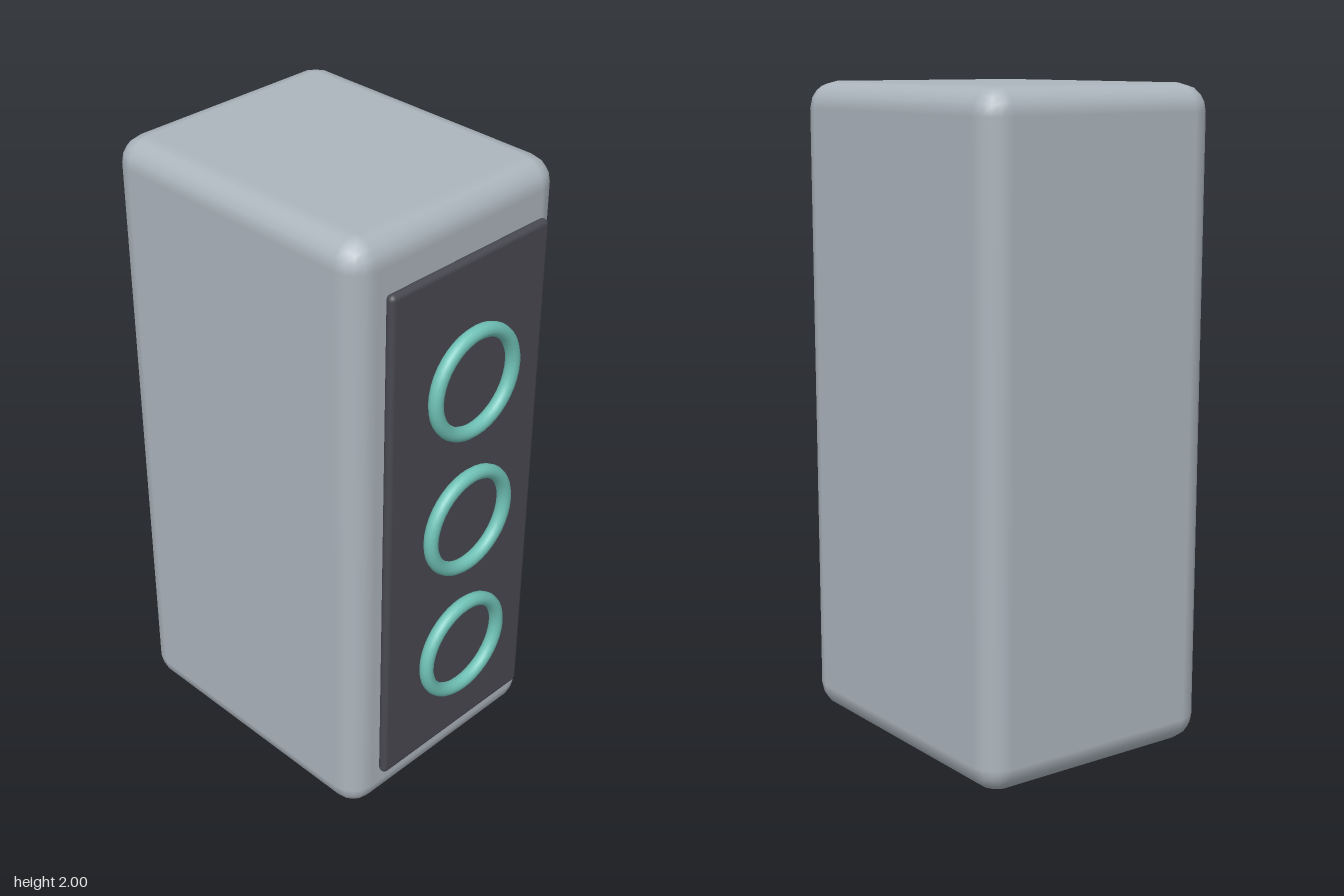
import * as THREE from 'three';
import { RoundedBoxGeometry } from 'three/addons/geometries/RoundedBoxGeometry.js';

function material(name, color) {
  const m = new THREE.MeshStandardMaterial({ color });
  m.name = name;
  return m;
}

export function createModel() {
  const model = new THREE.Group();
  model.name = 'towerSpeaker';
  const grey = material('cabinet grey', 0xacb5bd);
  const dark = material('grille charcoal', 0x484850);
  const teal = material('ring teal', 0x70c2b7);

  const add = (name, geometry, mat, x, y, z) => {
    const mesh = new THREE.Mesh(geometry, mat);
    mesh.name = name;
    mesh.position.set(x, y, z);
    model.add(mesh);
  };

  // Rounded cabinet
  add('cabinet', new RoundedBoxGeometry(0.813, 2, 0.982, 2, 0.082), grey, 0, 1, -0.045);

  // Front panel, floating just ahead of the cabinet
  add('frontPanel', new RoundedBoxGeometry(0.625, 1.7, 0.032, 2, 0.0155), dark, 0, 1.002, 0.473);

  // Driver rings
  const ring = new THREE.TorusGeometry(0.159, 0.022, 12, 40);
  ['lowerRing', 'middleRing', 'upperRing'].forEach((name, i) => {
    add(name, ring, teal, 0, 0.511 + i * 0.479, 0.511);
  });

  return model;
}
